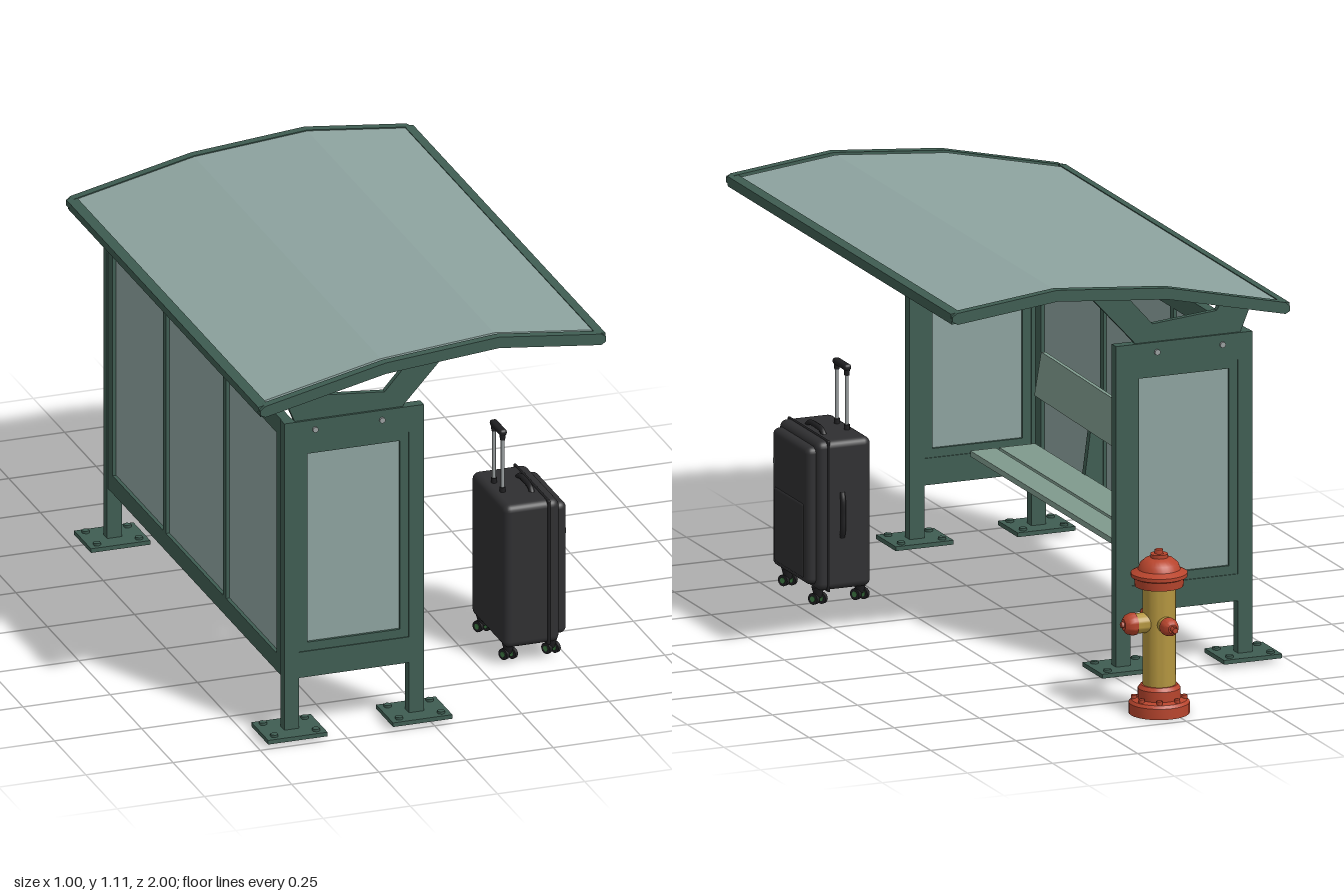
import * as THREE from 'three';
import { toCreasedNormals } from 'three/addons/utils/BufferGeometryUtils.js';
import { RoundedBoxGeometry } from 'three/addons/geometries/RoundedBoxGeometry.js';

const mat = (color) => new THREE.MeshStandardMaterial({ color });
const M = {
  frame: mat(0x3f5d52), glass: mat(0x8da39f), bench: mat(0x7f9a8d), steel: mat(0x9a9fa0),
  red: mat(0xb8452d), yellow: mat(0xb3953f), black: mat(0x2f2f31), dark: mat(0x1f1f21), hub: mat(0x3f7a45),
};

function add(parent, name, geometry, material, x = 0, y = 0, z = 0) {
  const mesh = new THREE.Mesh(geometry, material);
  mesh.name = name;
  mesh.position.set(x, y, z);
  parent.add(mesh);
  return mesh;
}

// box given by its minimum and maximum on each axis
function box(parent, name, material, x0, x1, y0, y1, z0, z1) {
  return add(parent, name, new THREE.BoxGeometry(x1 - x0, y1 - y0, z1 - z0), material,
    (x0 + x1) / 2, (y0 + y1) / 2, (z0 + z1) / 2);
}

const polygon = (pts) => new THREE.Shape(pts.map(([x, y]) => new THREE.Vector2(x, y)));
const rect = (x0, x1, y0, y1) => polygon([[x0, y0], [x1, y0], [x1, y1], [x0, y1]]);

// flat outline in x/y, centred on z with the given thickness
function plate(parent, name, material, shape, thickness, z) {
  const g = new THREE.ExtrudeGeometry(shape, { depth: thickness, bevelEnabled: false });
  return add(parent, name, g, material, 0, 0, z - thickness / 2);
}

function lathe(parent, name, material, pts, x = 0, y = 0, z = 0) {
  const g = new THREE.LatheGeometry(pts.map(([r, h]) => new THREE.Vector2(r, h)), 28);
  return add(parent, name, toCreasedNormals(g, 0.6), material, x, y, z);
}

const ENDS = [0.927, -0.483]; // z of the two end walls
const LEGS = [-0.39, -0.032]; // x of the legs

function endWall(z) {
  const g = new THREE.Group();
  g.name = 'endWall';
  // posts and rails in one outline with a window
  const outline = polygon([[-0.41, 0.02], [-0.368, 0.02], [-0.368, 0.17], [-0.053, 0.17],
    [-0.053, 0.02], [-0.01, 0.02], [-0.01, 0.92], [-0.41, 0.92]]);
  outline.holes.push(rect(-0.368, -0.053, 0.245, 0.845));
  plate(g, 'wallFrame', M.frame, outline, 0.03, z);
  const inner = rect(-0.368, -0.053, 0.245, 0.845);
  inner.holes.push(rect(-0.343, -0.078, 0.27, 0.822));
  plate(g, 'windowFrame', M.frame, inner, 0.024, z);
  box(g, 'windowPane', M.glass, -0.345, -0.076, 0.268, 0.824, z - 0.004, z + 0.004);
  // forked bracket that carries the roof
  plate(g, 'roofBracket', M.frame, polygon([[-0.372, 0.905], [-0.075, 0.905], [-0.065, 0.925],
    [0.068, 1.07], [-0.04, 1.06], [-0.12, 0.97], [-0.308, 0.987], [-0.325, 1.015], [-0.408, 0.992]]), 0.016, z);
  for (const x of [-0.322, -0.13]) {
    const bolt = add(g, 'bracketBolt', new THREE.CylinderGeometry(0.008, 0.008, 0.042, 12), M.steel, x, 0.892, z);
    bolt.rotation.x = Math.PI / 2;
  }
  for (const x of LEGS) {
    box(g, 'footPlate', M.frame, x - 0.085, x + 0.085, 0.011, 0.023, z - 0.067, z + 0.067);
    for (const dx of [-0.06, 0.06]) for (const dz of [-0.045, 0.045])
      add(g, 'footBolt', new THREE.CylinderGeometry(0.011, 0.011, 0.008, 6), M.frame, x + dx, 0.026, z + dz);
  }
  return g;
}

function backWall() {
  const g = new THREE.Group();
  g.name = 'backWall';
  box(g, 'topRail', M.frame, -0.408, -0.38, 0.868, 0.92, -0.483, 0.927);
  box(g, 'bottomRail', M.frame, -0.408, -0.38, 0.17, 0.222, -0.483, 0.927);
  for (const [z0, z1] of [[0.875, 0.925], [-0.48, -0.43], [0.45, 0.473], [-0.028, -0.005]])
    box(g, 'upright', M.frame, -0.408, -0.38, 0.2, 0.9, z0, z1);
  box(g, 'backPane', M.glass, -0.398, -0.39, 0.21, 0.88, -0.45, 0.9);
  return g;
}

function bench() {
  const g = new THREE.Group();
  g.name = 'bench';
  box(g, 'seatBoard', M.bench, -0.33, -0.225, 0.27, 0.286, -0.28, 0.8);
  box(g, 'frontBoard', M.bench, -0.215, -0.14, 0.27, 0.286, -0.28, 0.8);
  const back = add(g, 'backrest', new THREE.BoxGeometry(0.014, 0.122, 1.08), M.bench, -0.345, 0.471, 0.26);
  back.rotation.set(-0.015, 0, 0.16);
  for (const z of [0.461, -0.016])
    plate(g, 'benchBracket', M.frame, polygon([[-0.385, 0.19], [-0.29, 0.19], [-0.15, 0.27],
      [-0.325, 0.27], [-0.345, 0.42], [-0.385, 0.42]]), 0.02, z);
  return g;
}

function roof() {
  const g = new THREE.Group();
  g.name = 'roof';
  const line = [[-0.485, 0.989], [-0.14, 1.067], [0.185, 1.096], [0.478, 1.063]];
  // band following the roof curve, optionally with pointed ends
  const band = (lo, hi, tip = 0) => {
    const pts = line.map(([x, y]) => [x, y + lo]);
    const n = line.length - 1, mid = (lo + hi) / 2;
    if (tip) pts.push([line[n][0] + tip, line[n][1] + mid - 0.007], [line[n][0] + tip, line[n][1] + mid + 0.007]);
    pts.push(...line.map(([x, y]) => [x, y + hi]).reverse());
    if (tip) pts.push([line[0][0] - tip, line[0][1] + mid + 0.005], [line[0][0] - tip, line[0][1] + mid - 0.009]);
    return polygon(pts);
  };
  plate(g, 'roofPane', M.glass, band(0.004, 0.013), 1.487, 0.2165);
  for (const z of [0.9875, -0.5375]) plate(g, 'endBeam', M.frame, band(-0.016, 0.016, 0.014), 0.025, z);
  for (const z of [0.461, -0.016]) plate(g, 'rib', M.frame, band(-0.016, 0.004), 0.02, z);
  for (const z of ENDS) plate(g, 'rib', M.frame, band(-0.012, 0.004), 0.02, z);
  // long beams at the eaves and the folds
  line.forEach(([x, y], i) => {
    const edge = i === 0 || i === 3;
    const [w, h] = edge ? [0.028, 0.03] : [0.02, 0.018];
    const beam = add(g, edge ? 'eaveBeam' : 'purlin', new THREE.BoxGeometry(w, h, 1.53), M.frame,
      x, y - (edge ? 0 : 0.006), 0.225);
    beam.rotation.z = [0.22, 0.16, 0, -0.11][i];
  });
  return g;
}

function hydrant() {
  const g = new THREE.Group();
  g.name = 'hydrant';
  lathe(g, 'base', M.red, [[0, 0], [0.083, 0], [0.083, 0.03], [0.076, 0.038], [0.058, 0.042],
    [0.058, 0.07], [0.05, 0.08], [0, 0.08]]);
  lathe(g, 'barrel', M.yellow, [[0.045, 0.075], [0.045, 0.365]]);
  lathe(g, 'bonnet', M.red, [[0, 0.355], [0.066, 0.355], [0.068, 0.378], [0.077, 0.382], [0.077, 0.392],
    [0.058, 0.402], [0.052, 0.418], [0.038, 0.43], [0.024, 0.434], [0.024, 0.444], [0, 0.444]]);
  add(g, 'topNut', new THREE.CylinderGeometry(0.012, 0.014, 0.022, 5), M.red, 0, 0.445, 0);
  for (let i = 0; i < 8; i++) {
    const a = (i + 0.5) * Math.PI / 4;
    add(g, 'baseBolt', new THREE.CylinderGeometry(0.008, 0.008, 0.012, 6), M.red,
      0.068 * Math.cos(a), 0.043, 0.068 * Math.sin(a));
  }
  // large outlet to the left, smaller ones front and back
  for (const [angle, r, reach] of [[0, 0.031, 0.112], [Math.PI / 2, 0.025, 0.112], [-Math.PI / 2, 0.025, 0.112]]) {
    const outlet = new THREE.Group();
    outlet.name = 'outlet';
    const neck = angle === 0 ? 0.072 : 0.06;
    lathe(outlet, 'neck', M.yellow, [[r * 0.9, 0.03], [r * 0.9, neck], [0, neck]]);
    lathe(outlet, 'cap', M.red, [[0, neck], [r, neck], [r, neck + 0.01], [r * 0.85, neck + 0.024],
      [r * 0.5, neck + 0.033], [0, neck + 0.033]]);
    add(outlet, 'capNut', new THREE.CylinderGeometry(0.009, 0.009, 0.03, 5), M.red, 0, reach - 0.015, 0);
    outlet.rotation.set(0, angle, -Math.PI / 2, 'YXZ');
    outlet.position.y = 0.255;
    g.add(outlet);
  }
  g.position.set(0.03, 0, -0.885);
  return g;
}

function suitcase() {
  const g = new THREE.Group();
  g.name = 'suitcase';
  add(g, 'shell', new RoundedBoxGeometry(0.16, 0.418, 0.272, 3, 0.02), M.black, 0.393, 0.262, 0.553);
  add(g, 'pocket', new RoundedBoxGeometry(0.05, 0.385, 0.245, 3, 0.018), M.black, 0.473, 0.262, 0.553);
  add(g, 'lowerPocket', new RoundedBoxGeometry(0.02, 0.21, 0.2, 2, 0.008), M.black, 0.491, 0.19, 0.553);
  add(g, 'zipperBand', new RoundedBoxGeometry(0.008, 0.424, 0.278, 2, 0.004), M.dark, 0.44, 0.262, 0.553);
  // carry handles on top and on one side
  const loop = (pts) => new THREE.TubeGeometry(new THREE.CatmullRomCurve3(
    pts.map((p) => new THREE.Vector3(...p))), 20, 0.008, 8);
  add(g, 'topHandle', loop([[0.42, 0.46, 0.49], [0.42, 0.478, 0.51], [0.42, 0.482, 0.553],
    [0.42, 0.478, 0.596], [0.42, 0.46, 0.616]]), M.dark);
  add(g, 'sideHandle', loop([[0.4, 0.2, 0.42], [0.4, 0.22, 0.413], [0.4, 0.262, 0.412],
    [0.4, 0.304, 0.413], [0.4, 0.324, 0.42]]), M.dark);
  // telescopic pull handle
  for (const z of [0.515, 0.583]) {
    add(g, 'pullRod', new THREE.CylinderGeometry(0.005, 0.005, 0.19, 10), M.steel, 0.345, 0.55, z);
    add(g, 'rodSleeve', new THREE.CylinderGeometry(0.008, 0.008, 0.02, 10), M.dark, 0.345, 0.475, z);
    add(g, 'gripEnd', new THREE.CylinderGeometry(0.009, 0.007, 0.025, 10), M.dark, 0.345, 0.635, z);
  }
  add(g, 'grip', new RoundedBoxGeometry(0.022, 0.018, 0.088, 3, 0.008), M.dark, 0.345, 0.645, 0.549);
  for (const [y, z] of [[0.365, 0.655], [0.28, 0.645]])
    box(g, 'zipPull', M.steel, 0.496, 0.5, y - 0.008, y + 0.008, z - 0.003, z + 0.003);
  // twin castors
  for (const x of [0.335, 0.458]) for (const z of [0.45, 0.655]) {
    add(g, 'castorFork', new THREE.CylinderGeometry(0.018, 0.01, 0.03, 12), M.dark, x, 0.045, z);
    for (const s of [-1, 1]) {
      const wheel = add(g, 'wheel', new THREE.CylinderGeometry(0.016, 0.016, 0.01, 18), M.dark, x + s * 0.012, 0.027, z);
      const hub = add(g, 'wheelHub', new THREE.CylinderGeometry(0.008, 0.008, 0.013, 12), M.hub, x + s * 0.012, 0.027, z);
      wheel.rotation.z = hub.rotation.z = Math.PI / 2;
      wheel.rotation.y = hub.rotation.y = 0.5;
    }
  }
  return g;
}

export function createModel() {
  const model = new THREE.Group();
  model.name = 'busShelterScene';
  model.add(...ENDS.map(endWall), backWall(), bench(), roof(), hydrant(), suitcase());
  return model;
}
